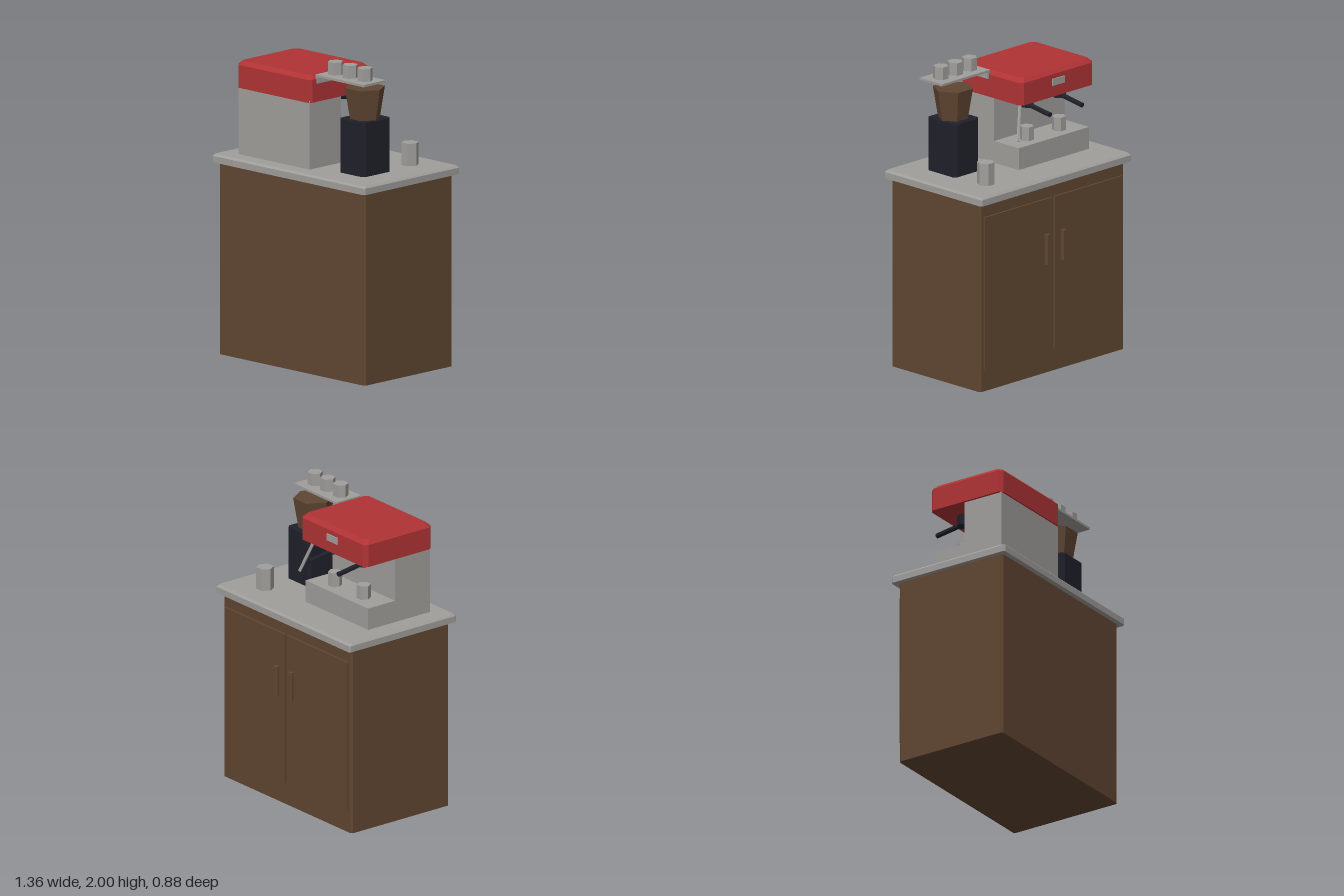
import * as THREE from 'three';
import { ConvexGeometry } from 'three/addons/geometries/ConvexGeometry.js';

const mat = (name, color) => Object.assign(new THREE.MeshStandardMaterial({ color }), { name });

export function createModel() {
  const group = new THREE.Group();
  const steel = mat('steel grey', 0xa09e9b);
  const red = mat('enamel red', 0xb03335);
  const wood = mat('brown wood', 0x604632);
  const dark = mat('dark plastic', 0x20202b);

  const add = (name, geometry, material) => {
    const mesh = new THREE.Mesh(geometry, material);
    mesh.name = name;
    group.add(mesh);
    return mesh;
  };

  // Plain box given by its minimum and maximum on each axis
  const box = (name, material, [x0, x1], [y0, y1], [z0, z1]) => {
    const g = new THREE.BoxGeometry(x1 - x0, y1 - y0, z1 - z0);
    g.translate((x0 + x1) / 2, (y0 + y1) / 2, (z0 + z1) / 2);
    return add(name, g, material);
  };

  // Box with chamfered upright edges and, optionally, a chamfered top rim
  const chamferBox = (name, material, [x0, x1], [y0, y1], [z0, z1], c, top = 0) => {
    const points = [];
    const ring = (y, inset) => {
      for (const [x, sx] of [[x0, 1], [x1, -1]]) {
        for (const [z, sz] of [[z0, 1], [z1, -1]]) {
          points.push(new THREE.Vector3(x + sx * (inset + c), y, z + sz * inset));
          points.push(new THREE.Vector3(x + sx * inset, y, z + sz * (inset + c)));
        }
      }
    };
    ring(y0, 0);
    ring(y1 - top, 0);
    if (top > 0) ring(y1, top);
    return add(name, new ConvexGeometry(points), material);
  };

  // Upright six-sided prism with points towards +x and -x
  const hex = (name, material, x, z, y0, y1, rBottom, rTop = rBottom) => {
    const g = new THREE.CylinderGeometry(rTop, rBottom, y1 - y0, 6).toNonIndexed();
    g.rotateY(Math.PI / 6);
    g.translate(x, (y0 + y1) / 2, z);
    g.computeVertexNormals();
    return add(name, g, material);
  };

  // Six-sided rod between two points
  const rod = (name, material, from, to, r) => {
    const a = new THREE.Vector3(...from), b = new THREE.Vector3(...to);
    const g = new THREE.CylinderGeometry(r, r, a.distanceTo(b), 6).toNonIndexed();
    g.computeVertexNormals();
    const mesh = add(name, g, material);
    mesh.position.copy(a).lerp(b, 0.5);
    mesh.quaternion.setFromUnitVectors(new THREE.Vector3(0, 1, 0), b.sub(a).normalize());
    return mesh;
  };

  // Cabinet and worktop
  chamferBox('cabinet', wood, [-0.65, 0.65], [0, 1.25], [-0.395, 0.4], 0.012);
  chamferBox('worktop', steel, [-0.68, 0.68], [1.25, 1.305], [-0.435, 0.435], 0.012, 0.013);

  // Pair of doors with pull handles on the back
  for (const s of [-1, 1]) {
    const span = (a, b) => (s > 0 ? [a, b] : [-b, -a]);
    box('door', wood, span(0.01, 0.62), [0.15, 1.16], [-0.41, -0.39]);
    chamferBox('doorHandle', wood, span(0.056, 0.088), [0.73, 0.93], [-0.44, -0.408], 0.006);
  }

  // Coffee machine housing
  box('machineBody', steel, [-0.55, 0.085], [1.305, 1.75], [0.04, 0.325]);
  box('dripTray', steel, [-0.55, 0.085], [1.305, 1.45], [-0.18, 0.04]);
  chamferBox('machineLid', red, [-0.565, 0.097], [1.74, 1.915], [-0.215, 0.335], 0.025, 0.026);
  box('badgePlate', steel, [-0.29, -0.18], [1.815, 1.86], [-0.223, -0.214]);

  // Brew heads, their handles and the cups below them
  for (const x of [-0.38, -0.09]) {
    hex('brewHead', dark, x, -0.08, 1.67, 1.745, 0.044);
    rod('brewHandle', dark, [x, 1.69, -0.06], [x, 1.657, -0.287], 0.018);
    hex('trayCup', steel, x, -0.08, 1.45, 1.54, 0.046);
  }
  rod('steamWand', steel, [0.03, 1.75, -0.138], [0.115, 1.51, -0.203], 0.011);

  // Grinder with bean hopper
  chamferBox('grinderBody', dark, [0.26, 0.488], [1.305, 1.655], [-0.01, 0.245], 0.02);
  hex('beanHopper', wood, 0.376, 0.12, 1.655, 1.857, 0.098, 0.132);

  // Cup shelf with bracket on the side of the lid
  box('cupShelf', steel, [0.087, 0.52], [1.902, 1.917], [0.075, 0.275]);
  box('shelfBracket', steel, [0.09, 0.107], [1.86, 1.905], [0.075, 0.275]);
  for (const x of [0.17, 0.3, 0.43]) hex('shelfCup', steel, x, 0.175, 1.915, 2, 0.05);

  // Milk jug on the worktop
  hex('milkJug', steel, 0.432, -0.23, 1.305, 1.45, 0.057);

  return group;
}
